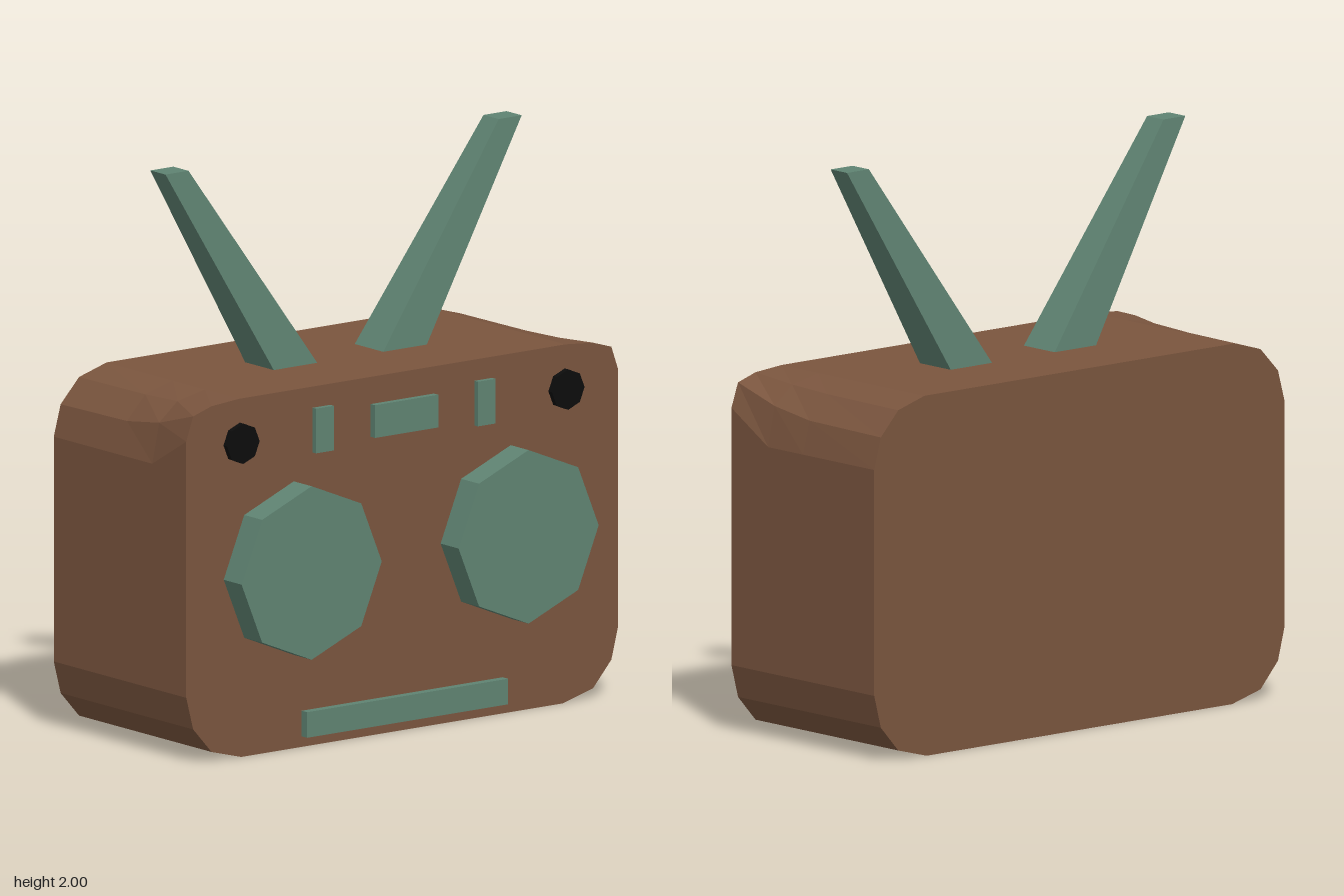
import * as THREE from 'three';

const brown = new THREE.MeshStandardMaterial({ color: 0x7a553e, flatShading: true });
const green = new THREE.MeshStandardMaterial({ color: 0x5f8372, flatShading: true });
const black = new THREE.MeshStandardMaterial({ color: 0x0c0c0c, flatShading: true });
const FRONT = 0.32;

function add(parent, name, geometry, material) {
  const mesh = new THREE.Mesh(geometry, material);
  mesh.name = name;
  parent.add(mesh);
  return mesh;
}

// Rounded case outline, counter-clockwise from the front; y1..y3 shape the top corners
function outline(z, y1, y2, y3) {
  const right = [[0.70, 0], [0.83, 0.035], [0.91, 0.125], [0.94, 0.24],
    [0.94, y1], [0.91, y2], [0.83, y3], [0.71, 1.26]];
  const left = right.map(([x, y]) => [-x, y]).reverse();
  return [...right, ...left].map(([x, y]) => [x, y, z]);
}

// Loft of the case outlines from front to back, closed with fans
function caseGeometry() {
  const loops = [
    outline(FRONT, 1.14, 1.225, 1.25),
    outline(0.13, 1.03, 1.17, 1.235),
    outline(-0.05, 1.03, 1.145, 1.228),
    outline(-0.42, 1.03, 1.14, 1.225),
  ];
  const n = loops[0].length;
  const index = [];
  for (let k = 0; k < loops.length - 1; k++) {
    for (let i = 0; i < n; i++) {
      const a = k * n + i, b = k * n + (i + 1) % n;
      index.push(a, a + n, b, b, a + n, b + n);
    }
  }
  const back = (loops.length - 1) * n;
  for (let i = 1; i < n - 1; i++) {
    index.push(0, i, i + 1, back, back + i + 1, back + i);
  }
  const g = new THREE.BufferGeometry();
  g.setAttribute('position', new THREE.Float32BufferAttribute(loops.flat(2), 3));
  g.setIndex(index);
  const flat = g.toNonIndexed();
  flat.computeVertexNormals();
  return flat;
}

// Leaning, tapered square antenna; side is +1 or -1
function antennaGeometry(side) {
  const g = new THREE.BoxGeometry(1, 1, 1);
  const p = g.attributes.position;
  for (let i = 0; i < p.count; i++) {
    const top = p.getY(i) > 0;
    const width = top ? 0.1 : 0.19, depth = top ? 0.085 : 0.16;
    p.setXYZ(i, side * (top ? 0.725 : 0.235) + p.getX(i) * width,
      top ? 2 : 1.255, -0.05 + p.getZ(i) * depth);
  }
  g.computeVertexNormals();
  return g;
}

// Octagonal disc standing on the front panel
function disc(parent, name, x, y, radius, depth, material) {
  const g = new THREE.CylinderGeometry(radius, radius, depth, 8).rotateX(Math.PI / 2);
  add(parent, name, g, material).position.set(x, y, FRONT + depth / 2);
}

// Flat block standing on the front panel
function block(parent, name, x, y, width, height, depth) {
  add(parent, name, new THREE.BoxGeometry(width, height, depth), green)
    .position.set(x, y, FRONT + depth / 2);
}

export function createModel() {
  const radio = new THREE.Group();
  radio.name = 'radio';
  add(radio, 'case', caseGeometry(), brown);

  // Paired parts
  for (const [side, label] of [[1, 'left'], [-1, 'right']]) {
    add(radio, label + 'Antenna', antennaGeometry(side), green);
    disc(radio, label + 'Speaker', side * 0.472, 0.633, 0.305, 0.1, green);
    disc(radio, label + 'Knob', side * 0.707, 1.105, 0.071, 0.02, black);
    block(radio, label + 'Button', side * 0.352, 1.107, 0.077, 0.157, 0.02);
  }

  // Centre parts
  block(radio, 'display', 0, 1.107, 0.275, 0.115, 0.025);
  block(radio, 'bottomStrip', 0, 0.082, 0.875, 0.09, 0.03);
  return radio;
}
